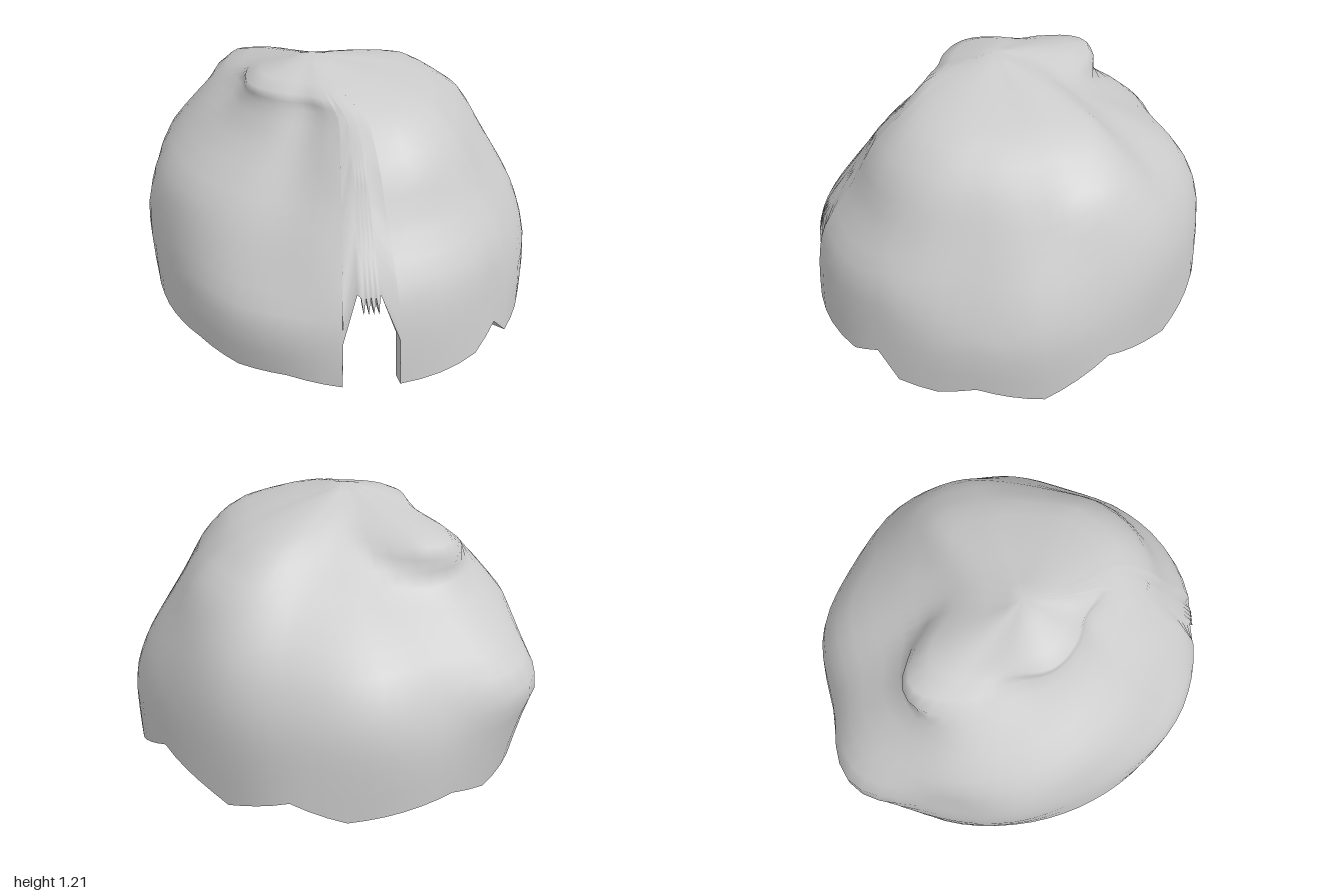
import * as THREE from 'three';
import { mergeVertices } from 'three/addons/utils/BufferGeometryUtils.js';

// Radii of the rocky dome: one row per height, 16 directions per row,
// starting at the front (+z) and turning towards +x.
const LEVELS = [0, 0.3, 0.5, 0.7, 0.9, 1.04, 1.13, 1.21];
const RADII = [
  [.99, .96, .93, .92, .90, .89, .94, .95, .96, .98, .95, .91, .90, .91, .93, .98],
  [.97, .93, .92, .92, .89, .89, .92, .96, .97, 1.04, .97, .93, .89, .91, .95, .96],
  [.92, .89, .84, .86, .85, .87, .88, .93, .93, 1.08, .93, .91, .85, .84, .83, .90],
  [.78, .77, .72, .74, .77, .80, .77, .80, .80, .90, .88, .82, .77, .72, .69, .76],
  [.68, .66, .60, .60, .66, .66, .55, .52, .52, .66, .72, .62, .56, .52, .50, .62],
  [.54, .52, .46, .44, .46, .48, .36, .30, .36, .64, .58, .46, .45, .42, .38, .48],
  [.33, .30, .26, .24, .26, .25, .20, .18, .20, .30, .30, .34, .36, .33, .30, .33],
  new Array(16).fill(0),
];
const TOP = LEVELS.length - 1;
const ROWS = 18;

// Lower edge as [degrees, height]: ragged ground line, interrupted by the doorway.
const EDGE = [
  [-180, .06], [-168, 0], [-145, .07], [-134, .02], [-112, .06], [-90, .06], [-70, .08],
  [-55, .05], [-40, .08], [-25.7, .06], [-25.65, .28], [-21.9, .49],
];
for (let i = 0; i < 4; i++) EDGE.push([-21 + i * 1.3, .48], [-20.4 + i * 1.3, .41]);
EDGE.push(
  [-15.9, .49], [-11.35, .28], [-11.3, .06], [0, .06], [12, .06], [21, .14], [28, .02], [40, .02],
  [51, .08], [70, 0], [90, .15], [116, .01], [135, .12], [150, .03], [180, .06],
);

const catmull = (a, b, c, d, t) =>
  b + 0.5 * t * (c - a + t * (2 * a - 5 * b + 4 * c - d + t * (3 * (b - c) + d - a)));

function rowRadius(row, deg) {
  const u = ((deg + 360) % 360) / 22.5, i = Math.floor(u);
  const at = (k) => RADII[row][(i + k + 16) % 16];
  return catmull(at(-1), at(0), at(1), at(2), u - i);
}

function radius(deg, v) {
  const i = Math.min(Math.floor(v), TOP - 1);
  const at = (k) => rowRadius(THREE.MathUtils.clamp(i + k, 0, TOP), deg);
  return Math.max(0, catmull(at(-1), at(0), at(1), at(2), v - i));
}

function levelOf(y) {
  let i = 0;
  while (y > LEVELS[i + 1]) i++;
  return i + (y - LEVELS[i]) / (LEVELS[i + 1] - LEVELS[i]);
}

// Columns: every edge point, plus steps between distant ones
const COLUMNS = [];
EDGE.forEach(([deg, y], k) => {
  const next = EDGE[k + 1];
  if (!next) return COLUMNS.push([deg, y]);
  const steps = Math.max(1, Math.round((next[0] - deg) / 5));
  for (let s = 0; s < steps; s++) {
    const t = s / steps;
    COLUMNS.push([deg + (next[0] - deg) * t, y + (next[1] - y) * t]);
  }
});

// Point on the shell: t runs from the lower edge (0) to the summit (1)
function shellPoint([deg, edgeY], t, inner) {
  const v = THREE.MathUtils.lerp(levelOf(edgeY), TOP, t);
  const i = Math.min(Math.floor(v), TOP - 1);
  const y = THREE.MathUtils.lerp(LEVELS[i], LEVELS[i + 1], v - i);
  const r = radius(deg, v) * (inner ? 0.94 : 1);
  const a = THREE.MathUtils.degToRad(deg);
  const shift = -0.13 * THREE.MathUtils.smoothstep(v, 5, TOP);
  return [r * Math.sin(a) + shift, y - (inner ? 0.05 * t : 0), r * Math.cos(a)];
}

function grid(rows, pointAt, flip = false) {
  const pos = [], index = [];
  COLUMNS.forEach((col, i) => {
    for (let j = 0; j <= rows; j++) pos.push(...pointAt(col, j / rows));
    if (i === 0) return;
    for (let j = 0; j < rows; j++) {
      const a = (i - 1) * (rows + 1) + j, b = a + rows + 1;
      if (flip) index.push(a, b + 1, b, a, a + 1, b + 1);
      else index.push(a, b, b + 1, a, b + 1, a + 1);
    }
  });
  const geo = new THREE.BufferGeometry();
  geo.setAttribute('position', new THREE.Float32BufferAttribute(pos, 3));
  geo.setIndex(index);
  return geo;
}

function smooth(geo) {
  const merged = mergeVertices(geo, 1e-4);
  merged.computeVertexNormals();
  return merged;
}

export function createModel() {
  const group = new THREE.Group();
  group.name = 'rockHut';
  const material = new THREE.MeshStandardMaterial({ color: 0xcccccc });
  const add = (name, geo) => {
    const mesh = new THREE.Mesh(geo, material);
    mesh.name = name;
    group.add(mesh);
  };

  // Outer rock face and hollow inside
  add('outerShell', smooth(grid(ROWS, (c, t) => shellPoint(c, t, false))));
  add('innerShell', smooth(grid(ROWS, (c, t) => shellPoint(c, t, true), true)));

  // Wall thickness along the ground and around the doorway
  const rim = grid(1, (c, t) => shellPoint(c, 0, t === 0)).toNonIndexed();
  rim.computeVertexNormals();
  add('rimAndDoorway', rim);
  return group;
}
